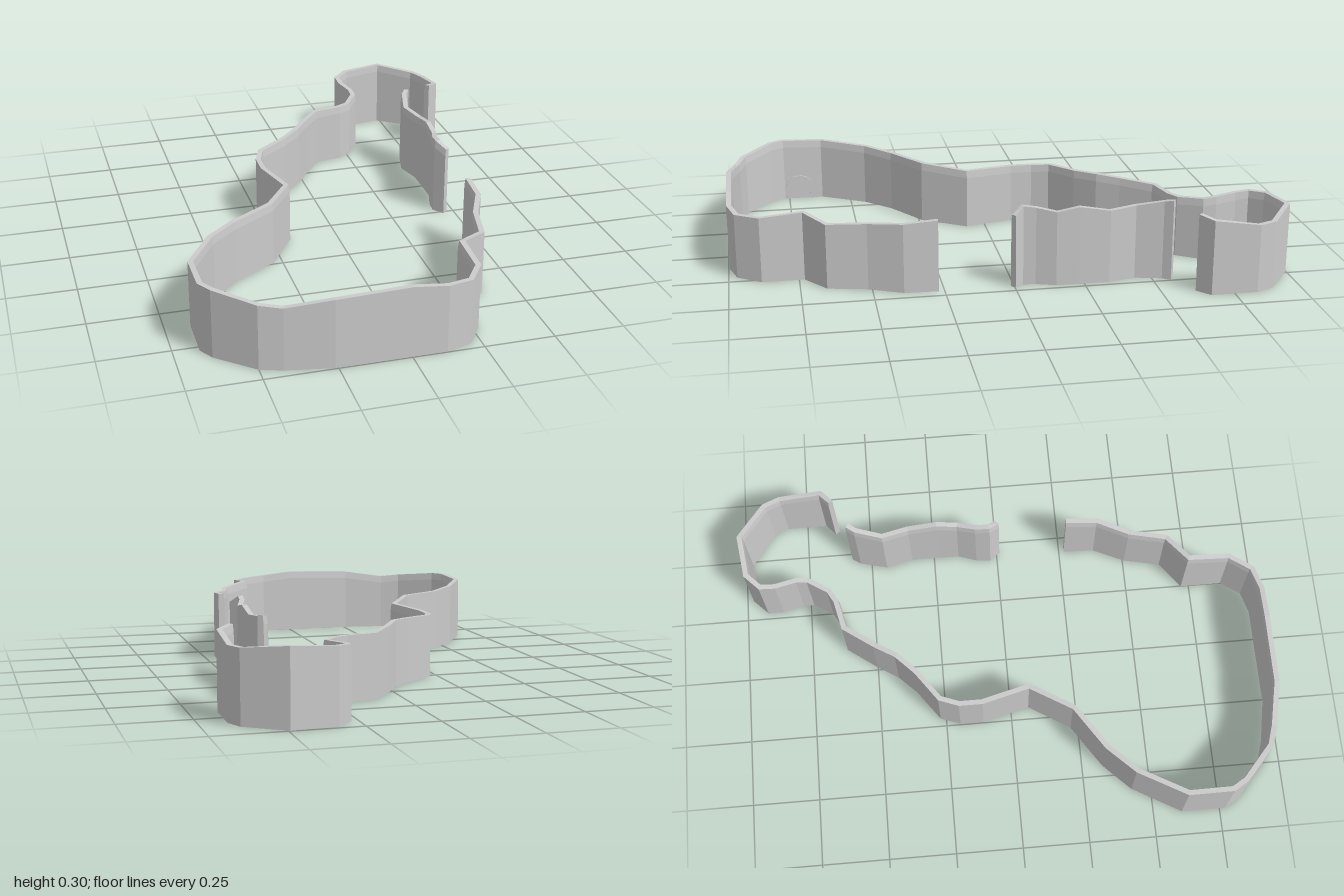
import * as THREE from 'three';

const T = 0.011; // half thickness of the wall

// Each point is [x, z, height]; the inside of the enclosure lies to the left of travel.
const MAIN = [
  [0.60, -0.63, 0.285], [0.645, -0.67, 0.275], [0.645, -0.83, 0.25], [0.62, -0.89, 0.25],
  [0.49, -0.985, 0.265], [0.335, -0.965, 0.255], [0.285, -0.915, 0.25], [0.285, -0.86, 0.245],
  [0.305, -0.78, 0.24], [0.305, -0.735, 0.235], [0.255, -0.655, 0.23], [0.21, -0.63, 0.23],
  [0.10, -0.605, 0.23], [0.02, -0.495, 0.235], [-0.03, -0.415, 0.24], [-0.10, -0.345, 0.235],
  [-0.21, -0.265, 0.23], [-0.235, -0.195, 0.225], [-0.235, -0.11, 0.225], [-0.19, 0.07, 0.228],
  [-0.29, 0.23, 0.237], [-0.45, 0.335, 0.235], [-0.55, 0.435, 0.24], [-0.65, 0.61, 0.245],
  [-0.65, 0.77, 0.25], [-0.62, 0.82, 0.25], [-0.495, 0.93, 0.235], [-0.42, 0.955, 0.227],
  [-0.26, 0.985, 0.25], [0, 0.985, 0.258], [0.12, 0.985, 0.245], [0.205, 0.96, 0.24],
  [0.26, 0.88, 0.242], [0.26, 0.725, 0.255], [0.36, 0.65, 0.24], [0.39, 0.51, 0.245],
  [0.445, 0.39, 0.255], [0.45, 0.27, 0.265],
];
const SIDE = [
  [0.465, 0.005, 0.27], [0.437, -0.03, 0.295], [0.442, -0.08, 0.288], [0.465, -0.15, 0.275],
  [0.467, -0.23, 0.29], [0.467, -0.34, 0.27], [0.442, -0.44, 0.275], [0.467, -0.54, 0.293],
  [0.487, -0.57, 0.30],
];

// Sweeps the wall section, with its bevelled inner top edge, along a mitred path
function wall(name, path) {
  const dir = (a, b) => new THREE.Vector2(b[0] - a[0], b[1] - a[1]).normalize();
  const rings = path.map((p, i) => {
    const d0 = dir(path[Math.max(i - 1, 0)], path[Math.max(i, 1)]);
    const last = path.length - 1;
    const d1 = dir(path[Math.min(i, last - 1)], path[Math.min(i + 1, last)]);
    const d = d0.clone().add(d1).normalize();
    const miter = 1 / Math.max(d.dot(d0), 0.5);
    const h = p[2];
    return [[-T, 0], [-T, h], [T * 0.7, h], [T, h - 0.028], [T, 0]].map(([s, y]) =>
      new THREE.Vector3(p[0] + d.y * s * miter, y, p[1] - d.x * s * miter));
  });
  const pts = [];
  const n = rings[0].length;
  for (let i = 0; i < rings.length - 1; i++) {
    for (let j = 0; j < n; j++) {
      const k = (j + 1) % n;
      const a = rings[i][j], b = rings[i][k], c = rings[i + 1][j], e = rings[i + 1][k];
      pts.push(a, c, b, b, c, e);
    }
  }
  // End caps
  const first = rings[0], end = rings[rings.length - 1];
  for (let j = 1; j < n - 1; j++) {
    pts.push(first[0], first[j], first[j + 1], end[0], end[j + 1], end[j]);
  }
  const geo = new THREE.BufferGeometry().setFromPoints(pts);
  geo.computeVertexNormals();
  return part(name, geo);
}

function part(name, geo) {
  const mesh = new THREE.Mesh(geo, new THREE.MeshStandardMaterial({ color: 0xcccccc, flatShading: true }));
  mesh.name = name;
  return mesh;
}

// Small arched surround at ground level on the inside face
function archSurround() {
  const trace = (path, r, h) => {
    path.moveTo(-r, 0);
    path.lineTo(-r, h);
    for (let i = 1; i <= 6; i++) {
      const a = Math.PI * (1 - i / 6);
      path.lineTo(r * Math.cos(a), h + r * 0.8 * Math.sin(a));
    }
    path.lineTo(r, 0);
  };
  const outer = new THREE.Shape();
  trace(outer, 0.055, 0.055);
  const inner = new THREE.Path();
  trace(inner, 0.043, 0.055);
  // Join both outlines into one open-footed band
  const band = new THREE.Shape([...outer.getPoints(), ...inner.getPoints().reverse()]);
  const geo = new THREE.ExtrudeGeometry(band, { depth: 0.008, bevelEnabled: false });
  const mesh = part('archSurround', geo);
  mesh.rotation.y = Math.PI / 2;
  mesh.position.set(-0.65 + T - 0.002, 0, 0.705);
  return mesh;
}

export function createModel() {
  const model = new THREE.Group();
  model.name = 'enclosureWalls';
  model.add(wall('mainWall', MAIN), wall('sideWall', SIDE), archSurround());
  return model;
}
